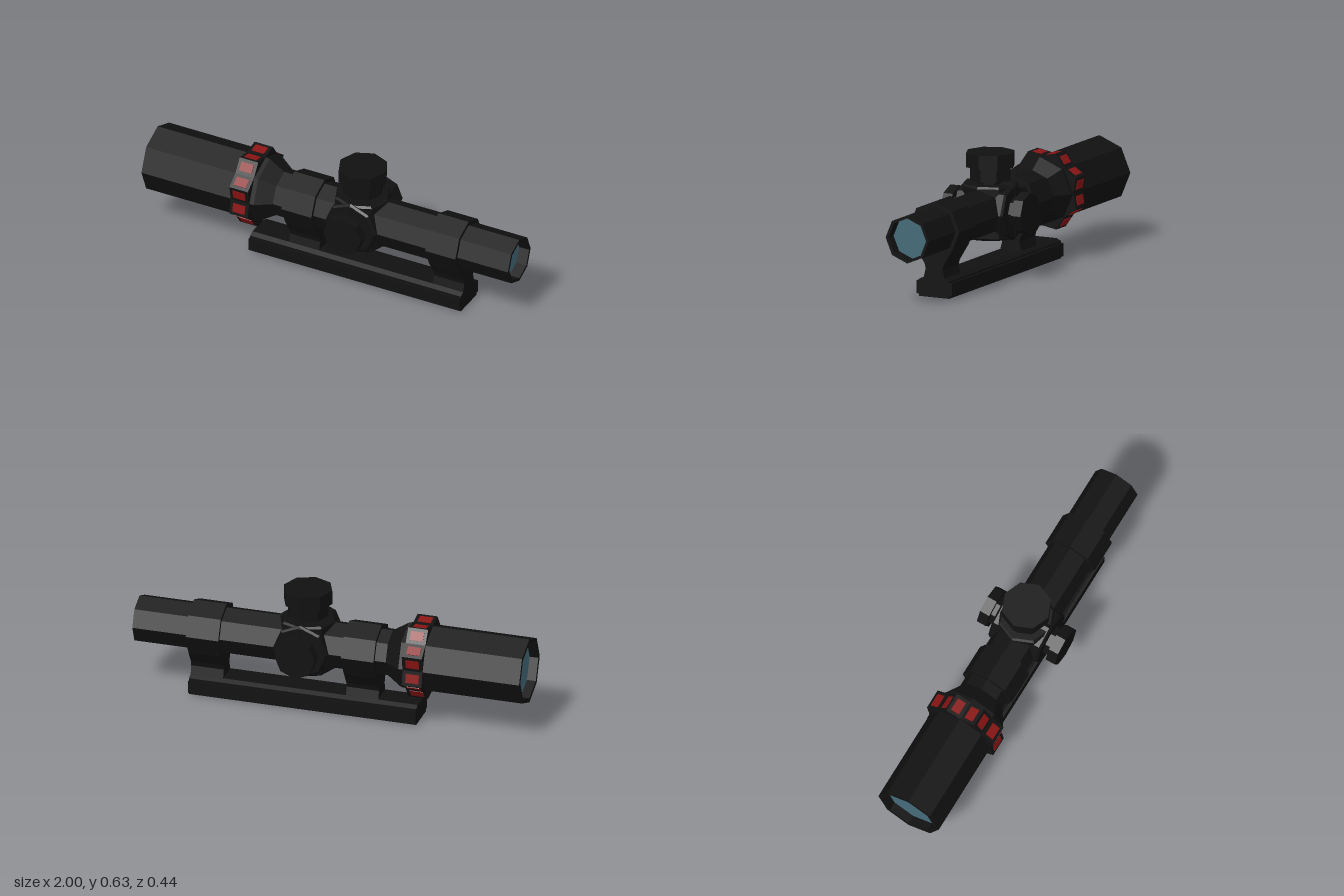
import * as THREE from 'three';

const black = new THREE.MeshStandardMaterial({ name: 'matte black', color: 0x111111, flatShading: true });
const red = new THREE.MeshStandardMaterial({ name: 'dark red', color: 0x8a1414, flatShading: true });
const glass = new THREE.MeshStandardMaterial({ name: 'blue glass', color: 0x446a78, flatShading: true });

const AXIS = 0.338; // height of the optical axis
const TURRET_X = 0.135;

function add(parent, name, geometry, material = black) {
  const mesh = new THREE.Mesh(geometry, material);
  mesh.name = name;
  parent.add(mesh);
  return mesh;
}

// Eight-sided turned part; profile is [radius, height] pairs going up
function turned(profile) {
  return new THREE.LatheGeometry(profile.map(([r, h]) => new THREE.Vector2(r, h)), 8);
}

// Cross-section of [z, y] pairs extruded from x0 to x1
function alongX(section, x0, x1) {
  const shape = new THREE.Shape(section.map(([z, y]) => new THREE.Vector2(-z, y)));
  return new THREE.ExtrudeGeometry(shape, { depth: x1 - x0, bevelEnabled: false })
    .rotateY(Math.PI / 2).translate(x0, 0, 0);
}

// Half section on +z, listed from bottom to top, mirrored to -z
function mirrored(half) {
  return [...half, ...half.map(([z, y]) => [-z, y]).reverse()];
}

export function createModel() {
  const model = new THREE.Group();
  model.name = 'riflescope';

  // Optical tube with hollow ends
  const optics = new THREE.Group();
  optics.name = 'optics';
  optics.position.y = AXIS;
  model.add(optics);
  add(optics, 'tube', turned([
    [0.15, -0.95], [0.15, -1], [0.172, -1], [0.172, -0.38], [0.12, -0.3],
    [0.12, 1], [0.105, 1], [0.105, 0.94],
  ]).rotateZ(-Math.PI / 2));
  add(optics, 'frontLens', new THREE.CircleGeometry(0.106, 8).rotateY(Math.PI / 2), glass).position.x = 0.945;
  add(optics, 'rearLens', new THREE.CircleGeometry(0.151, 8).rotateY(-Math.PI / 2), glass).position.x = -0.955;

  // Scalloped adjustment ring with a red mark on each facet
  const star = [];
  for (let i = 0; i < 16; i++) {
    const r = i % 2 ? 0.204 : 0.174;
    const a = (i * Math.PI) / 8;
    star.push([r * Math.cos(a), r * Math.sin(a)]);
  }
  add(optics, 'adjustmentRing', alongX(star, -0.505, -0.403));
  star.forEach(([z0, y0], i) => {
    const [z1, y1] = star[(i + 1) % 16];
    const mark = add(optics, 'ringMark', new THREE.BoxGeometry(0.068, 0.006, 0.046), red);
    mark.position.set(-0.455, (y0 + y1) / 2, (z0 + z1) / 2);
    mark.rotation.x = Math.atan2(y0 - y1, z1 - z0);
  });

  // Turret housing: two crossing drums
  const drum = (h) => turned([[0, -h], [0.132, -h], [0.142, -h + 0.01], [0.142, h - 0.01], [0.132, h], [0, h]]);
  add(optics, 'verticalHousing', drum(0.134)).position.x = TURRET_X;
  add(optics, 'crossHousing', drum(0.139).rotateX(Math.PI / 2)).position.x = TURRET_X;

  // Top dial
  add(optics, 'topDial', turned([
    [0.07, 0.12], [0.07, 0.151], [0.104, 0.151], [0.104, 0.217],
    [0.124, 0.217], [0.124, 0.289], [0, 0.289],
  ])).position.x = TURRET_X;

  // Side dials
  for (const side of [1, -1]) {
    const dial = turned([[0.078, 0.12], [0.078, 0.17], [0.104, 0.17], [0.104, 0.222], [0, 0.222]]);
    add(optics, side > 0 ? 'frontDial' : 'backDial', dial.rotateX((side * Math.PI) / 2)).position.x = TURRET_X;
  }

  // Mount: rail, two legs and two clamp rings
  const mount = new THREE.Group();
  mount.name = 'mount';
  model.add(mount);
  add(mount, 'rail', alongX(mirrored([
    [0.083, 0], [0.083, 0.012], [0.098, 0.012], [0.098, 0.077],
    [0.083, 0.077], [0.083, 0.086], [0.058, 0.098],
  ]), -0.445, 0.72));
  const leg = mirrored([[0.058, 0.096], [0.047, 0.14], [0.053, 0.165], [0.095, 0.235], [0.095, 0.3]]);
  for (const [x0, x1] of [[-0.243, -0.077], [0.553, 0.72]]) {
    add(mount, 'leg', alongX(leg, x0, x1));
    const ring = new THREE.CylinderGeometry(0.14, 0.14, x1 - x0, 8).rotateZ(Math.PI / 2);
    add(mount, 'clampRing', ring).position.set((x0 + x1) / 2, AXIS, 0);
  }
  return model;
}
